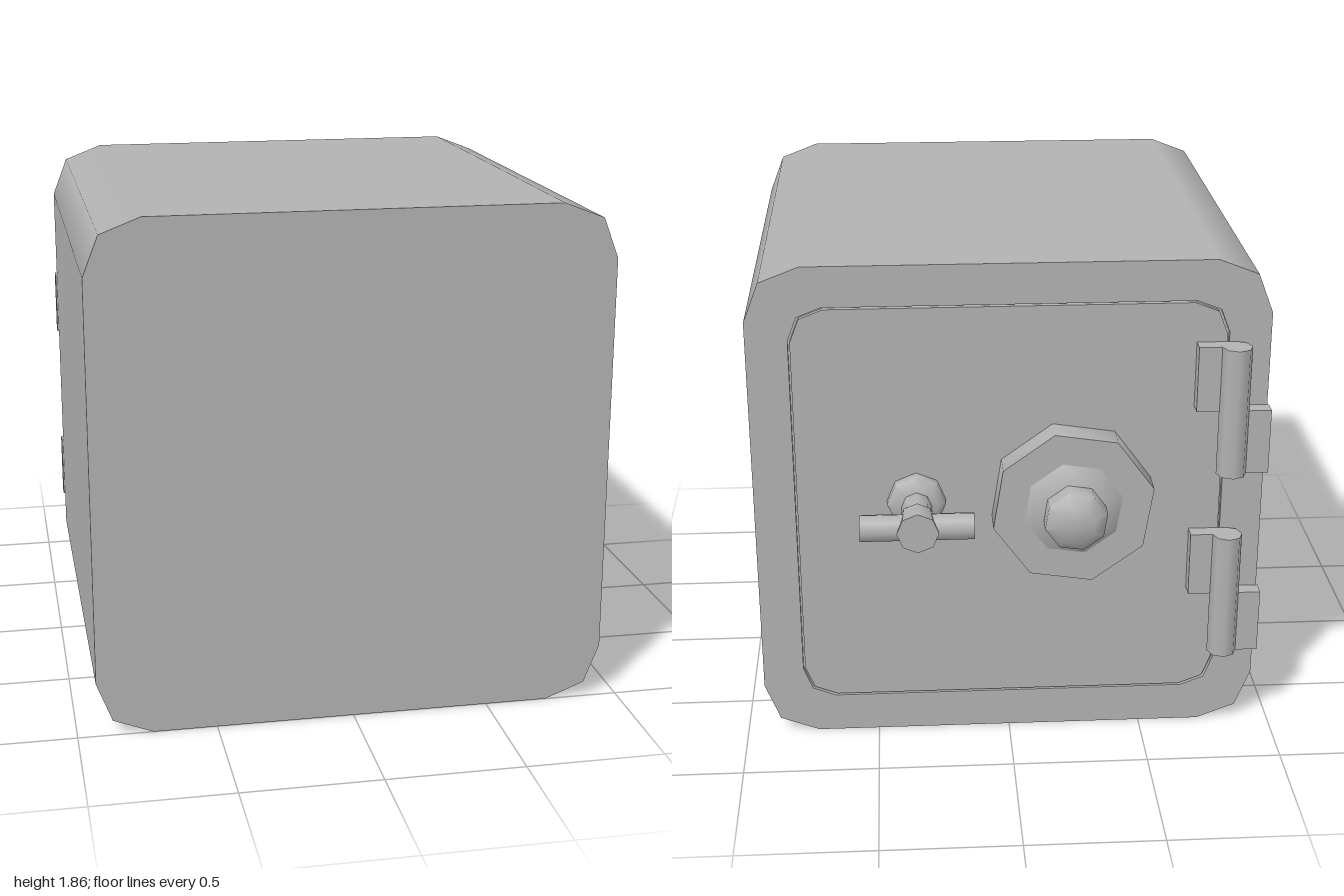
import * as THREE from 'three';
import { toCreasedNormals } from 'three/addons/utils/BufferGeometryUtils.js';

const metal = new THREE.MeshStandardMaterial({ color: 0xb2b2b2 });
metal.name = 'grey metal';

const MID = 0.93;      // height of the body's centre
const BACK = -0.72;    // plane of the door

function createPart(parent, name, geometry, x = 0, y = 0, z = 0) {
  const mesh = new THREE.Mesh(geometry, metal);
  mesh.name = name;
  mesh.position.set(x, y, z);
  parent.add(mesh);
  return mesh;
}

// Square outline whose corners are cut in three steps
function outline(half, corner, Type = THREE.Shape) {
  const flat = half - corner, near = flat + corner * 0.72;
  const quarter = [[half, flat], [near, near], [flat, half]];
  const points = [];
  for (let i = 0; i < 4; i++) {
    for (const [x, y] of quarter) {
      const p = new THREE.Vector2(x, y);
      for (let k = 0; k < i; k++) p.set(-p.y, p.x);
      points.push(p);
    }
  }
  return new Type(points);
}

// Extrusion whose outer walls shade as rounded corners
function slab(shape, depth, flat) {
  const geometry = new THREE.ExtrudeGeometry(shape, { depth, bevelEnabled: false });
  const pos = geometry.attributes.position, normal = geometry.attributes.normal;
  const n = new THREE.Vector3();
  for (let i = 0; i < pos.count; i++) {
    const x = pos.getX(i), y = pos.getY(i);
    if (Math.abs(normal.getZ(i)) > 0.5 || Math.max(Math.abs(x), Math.abs(y)) <= flat) continue;
    n.set(x - THREE.MathUtils.clamp(x, -flat, flat), y - THREE.MathUtils.clamp(y, -flat, flat), 0).normalize();
    // Walls of an inner hole face the other way
    const sign = Math.sign(n.x * normal.getX(i) + n.y * normal.getY(i)) || 1;
    normal.setXYZ(i, n.x * sign, n.y * sign, 0);
  }
  return geometry;
}

// Eight-sided turned part pointing out of the door; profile is [radius, distance]
function turned(profile, turn = 0) {
  const points = profile.map(([r, d]) => new THREE.Vector2(r, d));
  const lathe = new THREE.LatheGeometry(points, 8, turn);
  return toCreasedNormals(lathe.rotateX(-Math.PI / 2), 0.92);
}

export function createModel() {
  const model = new THREE.Group();
  model.name = 'safe';

  // Body, door frame and door, with a narrow groove between frame and door
  const recess = 0.02;
  createPart(model, 'body', slab(outline(0.93, 0.2), 1 - BACK - recess, 0.73), 0, MID, BACK + recess);
  const frame = outline(0.93, 0.2);
  frame.holes.push(outline(0.78, 0.12, THREE.Path));
  createPart(model, 'doorFrame', slab(frame, recess, 0.73), 0, MID, BACK);
  createPart(model, 'door', slab(outline(0.773, 0.12), recess, 0.653), 0, MID, BACK);

  // Combination dial
  const dial = new THREE.Group();
  dial.name = 'dial';
  dial.position.set(-0.225, 0.963, BACK);
  model.add(dial);
  const turn = 0.24;
  createPart(dial, 'dialDisc', turned([[0.299, 0], [0.299, 0.107], [0, 0.107]], turn));
  createPart(dial, 'dialCollar', turned([[0.185, 0.105], [0.115, 0.147], [0, 0.147]], turn));
  createPart(dial, 'dialKnob', turned([[0.115, 0.145], [0.115, 0.213], [0.07, 0.25], [0, 0.25]], turn));

  // Handle: base, stem, hub and crossbar
  const handle = new THREE.Group();
  handle.name = 'handle';
  handle.position.set(0.34, 0.965, BACK);
  model.add(handle);
  createPart(handle, 'handleBase', turned([[0.107, 0], [0.107, 0.035], [0.08, 0.058], [0, 0.058]]));
  createPart(handle, 'handleStem', turned([[0.055, 0.05], [0.055, 0.18]]));
  createPart(handle, 'handleHub', turned([[0, 0.17], [0.066, 0.17], [0.075, 0.28], [0, 0.28]]));
  const bar = new THREE.CylinderGeometry(0.05, 0.05, 0.405, 8).rotateZ(Math.PI / 2);
  createPart(handle, 'handleBar', bar, 0.002, 0, -0.225);

  // Two hinges: barrel, upper leaf on the door, lower leaf on the frame
  for (const [name, y] of [['lowerHinge', 0.33], ['upperHinge', 1.065]]) {
    const hinge = new THREE.Group();
    hinge.name = name;
    hinge.position.set(-0.8, y, BACK);
    model.add(hinge);
    createPart(hinge, 'hingeBarrel', new THREE.CylinderGeometry(0.055, 0.055, 0.49, 8), 0, 0.245, -0.053);
    const leaf = new THREE.BoxGeometry(0.136, 0.245, 0.056);
    createPart(hinge, 'doorLeaf', leaf, 0.068, 0.3675, -0.028);
    createPart(hinge, 'frameLeaf', leaf, -0.068, 0.1225, -0.028);
  }

  return model;
}
